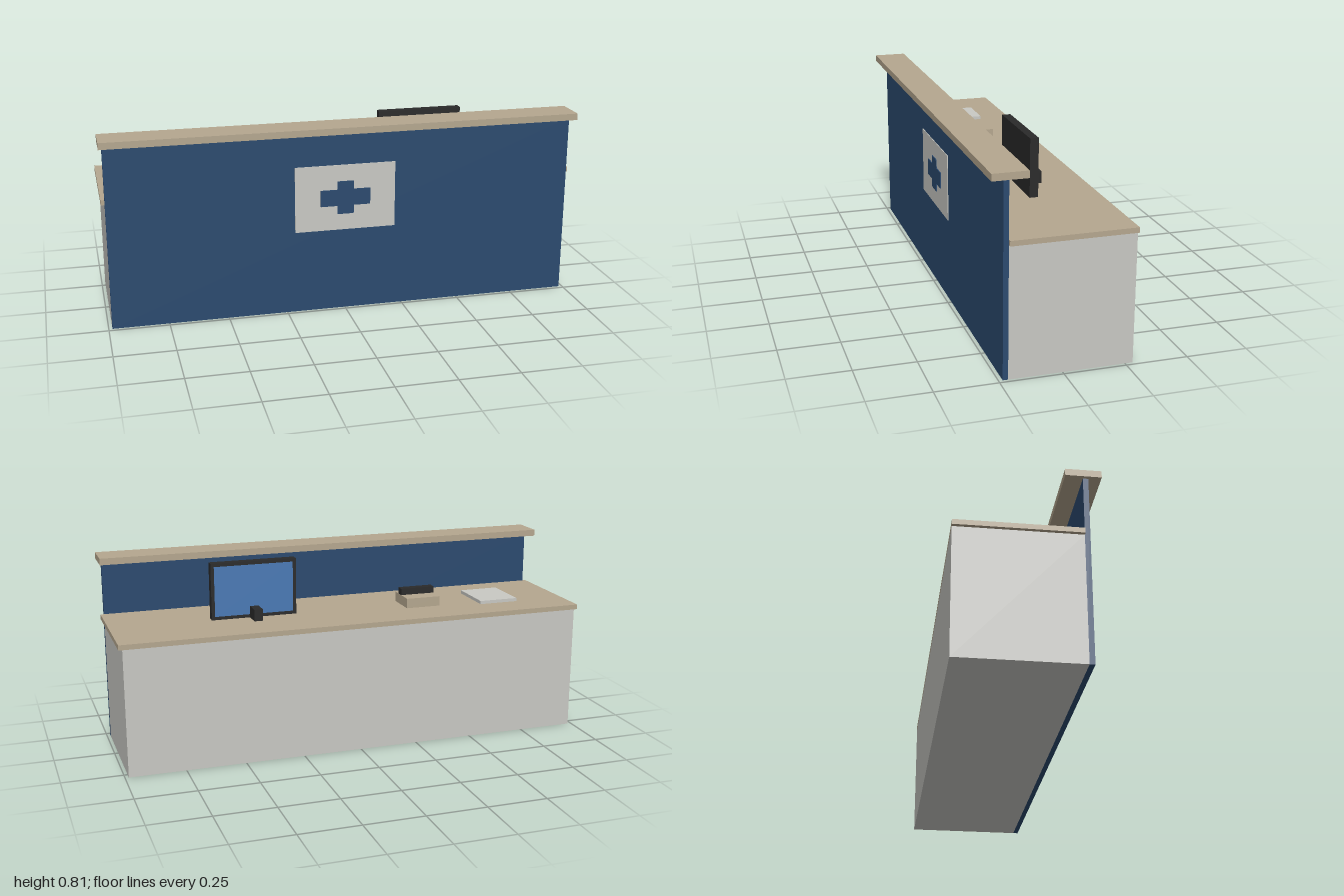
import * as THREE from 'three';

const mat = (name, color) => {
  const m = new THREE.MeshStandardMaterial({ color });
  m.name = name;
  return m;
};

export function createModel() {
  const navy = mat('navy panel', 0x2b4a6f);
  const wood = mat('tan wood', 0xb5a78f);
  const grey = mat('light grey', 0xc9c9c4);
  const black = mat('black plastic', 0x2a2a2a);
  const blue = mat('screen blue', 0x4a7ab5);

  const group = new THREE.Group();
  group.name = 'receptionDesk';

  // Box given by its extents along each axis
  const box = (name, material, [x0, x1], [y0, y1], [z0, z1], parent = group) => {
    const mesh = new THREE.Mesh(new THREE.BoxGeometry(x1 - x0, y1 - y0, z1 - z0), material);
    mesh.position.set((x0 + x1) / 2, (y0 + y1) / 2, (z0 + z1) / 2);
    mesh.name = name;
    parent.add(mesh);
    return mesh;
  };
  const subgroup = (name) => {
    const g = new THREE.Group();
    g.name = name;
    group.add(g);
    return g;
  };

  // Desk
  box('deskBody', grey, [-0.985, 0.985], [0, 0.53], [-0.281, 0.213]);
  box('worktop', wood, [-1, 1], [0.53, 0.551], [-0.281, 0.213]);
  box('frontPanel', navy, [-0.985, 0.985], [0, 0.778], [0.213, 0.234]);
  box('transactionShelf', wood, [-1, 1], [0.778, 0.806], [0.143, 0.283]);

  // Sign with a raised cross
  box('signPlate', grey, [-0.214, 0.214], [0.355, 0.637], [0.234, 0.237]);
  const a = 0.035, w = 0.106, h = 0.071;
  const cross = new THREE.Shape([
    [-a, -h], [a, -h], [a, -a], [w, -a], [w, a], [a, a],
    [a, h], [-a, h], [-a, a], [-w, a], [-w, -a], [-a, -a],
  ].map(([x, y]) => new THREE.Vector2(x, y)));
  const crossMesh = new THREE.Mesh(
    new THREE.ExtrudeGeometry(cross, { depth: 0.004, bevelEnabled: false }), navy);
  crossMesh.position.set(0, 0.496, 0.237);
  crossMesh.name = 'signCross';
  group.add(crossMesh);

  // Monitor, its screen turned to the staff side
  const monitor = subgroup('monitor');
  box('monitorCase', black, [0.208, 0.574], [0.551, 0.791], [-0.035, 0], monitor);
  box('monitorScreen', blue, [0.222, 0.56], [0.565, 0.777], [-0.036, -0.034], monitor);
  box('monitorStand', black, [0.373, 0.41], [0.551, 0.6], [-0.105, -0.035], monitor);

  // Telephone
  const phone = subgroup('telephone');
  box('phoneBase', wood, [-0.422, -0.27], [0.551, 0.593], [-0.105, 0.035], phone);
  box('phoneHandset', black, [-0.422, -0.27], [0.593, 0.621], [-0.035, 0], phone);

  // Paper stack
  box('paperStack', grey, [-0.775, -0.602], [0.551, 0.565], [-0.141, 0.07]);

  return group;
}
